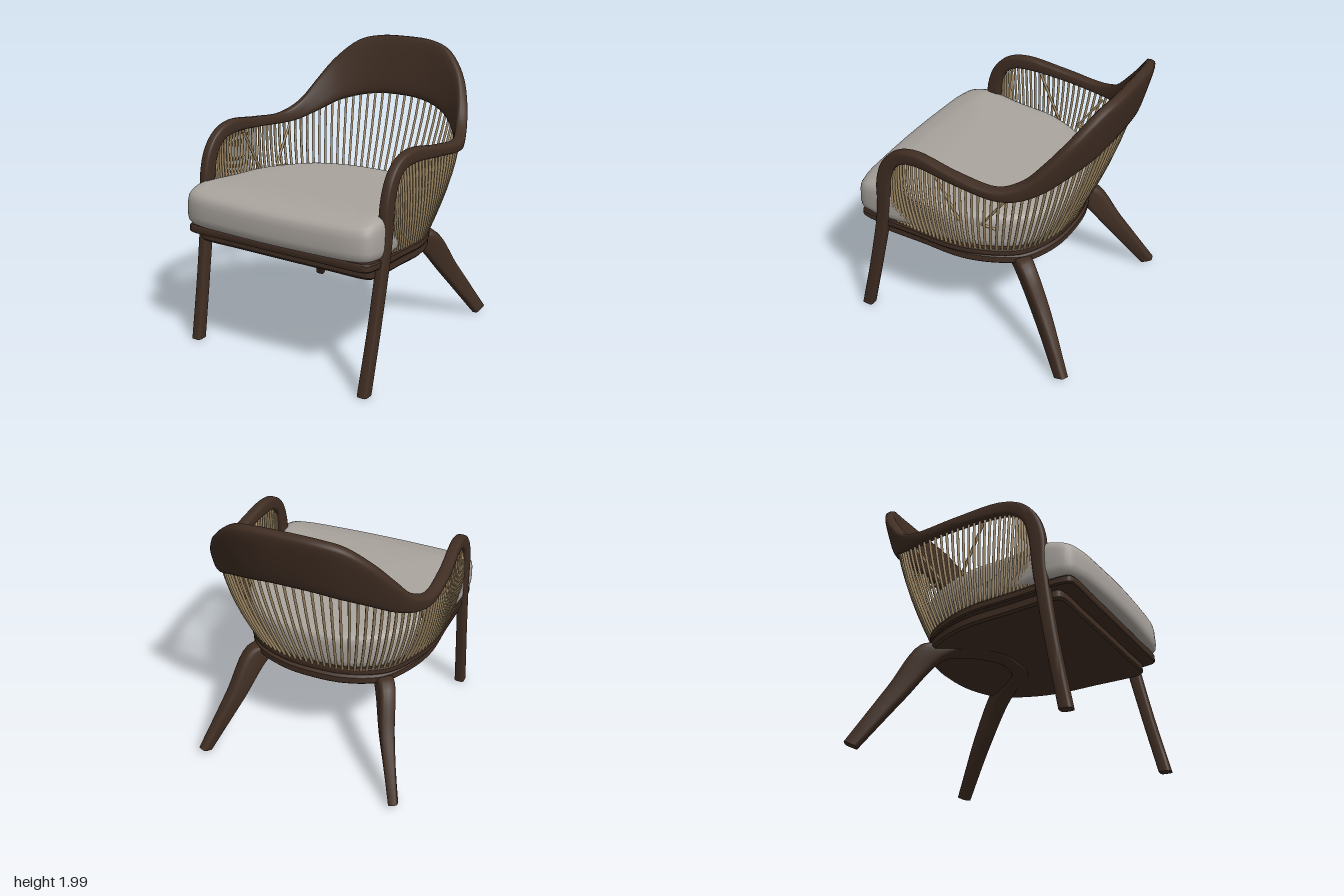
import * as THREE from 'three';
import { toCreasedNormals } from 'three/addons/utils/BufferGeometryUtils.js';

const V = (p) => new THREE.Vector3(...p);
const mirrored = (p) => [-p[0], ...p.slice(1)];
// half list runs from the +x side to the centre line; add the -x side
const bothSides = (half) => [...half, ...half.slice(0, -1).reverse().map(mirrored)];

// Skin a list of equal rings of points, facing outward
function loft(rings, crease) {
  const n = rings[0].length, pos = [], idx = [];
  rings.forEach((r) => r.forEach((p) => pos.push(p.x, p.y, p.z)));
  for (let i = 0; i < rings.length - 1; i++) {
    for (let j = 0; j < n; j++) {
      const a = i * n + j, b = i * n + (j + 1) % n;
      idx.push(a, b, b + n, a, b + n, a + n);
    }
  }
  const at = (i) => new THREE.Vector3(pos[3 * i], pos[3 * i + 1], pos[3 * i + 2]);
  let volume = 0;
  for (let i = 0; i < idx.length; i += 3) volume += at(idx[i]).dot(at(idx[i + 1]).cross(at(idx[i + 2])));
  if (volume < 0) idx.reverse();
  const g = new THREE.BufferGeometry();
  g.setAttribute('position', new THREE.Float32BufferAttribute(pos, 3));
  g.setIndex(idx);
  return toCreasedNormals(g, crease);
}

// Rounded bar whose two edges follow lower and upper points, with a thickness per point
function edgeSweep(lower, upper, thick, steps) {
  const a = new THREE.CatmullRomCurve3(lower.map(V));
  const b = new THREE.CatmullRomCurve3(upper.map(V));
  const rings = [], sides = 20;
  const pow = (v) => Math.sign(v) * Math.abs(v) ** 0.5;
  for (let i = 0; i <= steps; i++) {
    const t = i / steps, p = a.getPoint(t), q = b.getPoint(t);
    const c = p.clone().add(q).multiplyScalar(0.5);
    const u = q.clone().sub(p).multiplyScalar(0.5);
    const dir = a.getTangent(t).add(b.getTangent(t));
    const k = t * (thick.length - 1), k0 = Math.min(Math.floor(k), thick.length - 2);
    const w = THREE.MathUtils.lerp(thick[k0], thick[k0 + 1], k - k0) / 2;
    const n = dir.cross(u).normalize().multiplyScalar(w);
    const ring = [];
    for (let j = 0; j < sides; j++) {
      const ang = (j / sides) * Math.PI * 2;
      ring.push(c.clone().addScaledVector(u, pow(Math.cos(ang))).addScaledVector(n, pow(Math.sin(ang))));
    }
    if (i === 0) rings.push(ring.map(() => c.clone()));
    rings.push(ring);
    if (i === steps) rings.push(ring.map(() => c.clone()));
  }
  return loft(rings, 0.9);
}

// Closed plan outline from half points [x, z], listed front to back
function outline(half, count) {
  const left = half.slice(1, -1).reverse().map(([x, z]) => [-x, z]);
  const pts = [...half, ...left].map(([x, z]) => new THREE.Vector3(x, 0, z));
  return new THREE.CatmullRomCurve3(pts, true).getPoints(count).slice(0, -1);
}
// Stack the outline at [scale, height] levels about z = 0.2
function stack(plan, levels, crease, rule = (p) => p) {
  return loft(levels.map(([s, y]) => plan.map((p) => rule(new THREE.Vector3(p.x * s, y, 0.2 + (p.z - 0.2) * s)))), crease);
}

export function createModel() {
  const chair = new THREE.Group();
  const material = (name, color) => Object.assign(new THREE.MeshStandardMaterial({ color }), { name });
  const wood = material('dark wood', 0x402e23);
  const fabric = material('grey fabric', 0xaaa49e);
  const cord = material('tan cord', 0xa18a66);
  const add = (name, geometry, mat, parent = chair) => {
    const m = new THREE.Mesh(geometry, mat);
    m.name = name;
    parent.add(m);
  };

  // Front legs, arms and backrest as one continuous bent rail
  const railLower = [
    [0.715, 0.01, 0.755], [0.72, 0.5, 0.65], [0.72, 0.95, 0.565], [0.72, 1.2, 0.535], [0.72, 1.32, 0.495],
    [0.72, 1.385, 0.42], [0.725, 1.405, 0.3], [0.745, 1.385, 0], [0.73, 1.36, -0.28], [0.68, 1.37, -0.4],
    [0.59, 1.42, -0.52], [0.46, 1.5, -0.63], [0.3, 1.55, -0.7], [0.15, 1.575, -0.725], [0, 1.58, -0.73]];
  const railUpper = [
    [0.715, 0.01, 0.84], [0.72, 0.5, 0.735], [0.72, 0.95, 0.66], [0.72, 1.2, 0.645], [0.72, 1.36, 0.585],
    [0.72, 1.46, 0.48], [0.725, 1.5, 0.33], [0.75, 1.46, 0], [0.74, 1.44, -0.28], [0.685, 1.51, -0.44],
    [0.625, 1.65, -0.57], [0.53, 1.81, -0.69], [0.37, 1.95, -0.785], [0.22, 1.99, -0.825], [0, 2, -0.835]];
  const railThick = [0.075, 0.07, 0.07, 0.07, 0.07, 0.07, 0.075, 0.08, 0.08, 0.08, 0.08, 0.08, 0.085, 0.085, 0.085];
  // the left front foot stands a little further forward
  const skew = ([x, y, z]) => [x, y, z + Math.sign(x) * 0.037 * Math.max(0, 1 - y)];
  const thickBoth = (t) => [...t, ...t.slice(0, -1).reverse()];
  add('armAndBackRail', edgeSweep(bothSides(railLower).map(skew), bothSides(railUpper).map(skew), thickBoth(railThick), 140), wood);

  // Splayed rear legs joined by a curved brace under the seat
  const legLower = [[0.705, 0.01, -0.71], [0.545, 0.36, -0.47], [0.43, 0.62, -0.27], [0.36, 0.675, -0.16], [0.2, 0.68, 0], [0, 0.68, 0.03]];
  const legUpper = [[0.725, 0.05, -0.795], [0.6, 0.43, -0.57], [0.52, 0.72, -0.38], [0.4, 0.73, -0.24], [0.2, 0.74, -0.02], [0, 0.74, 0.03]];
  add('rearLegsAndBrace', edgeSweep(bothSides(legLower), bothSides(legUpper), thickBoth([0.065, 0.1, 0.12, 0.12, 0.12, 0.1]), 60), wood);

  // Seat, tilted slightly back
  const seat = new THREE.Group();
  seat.name = 'seat';
  seat.rotation.x = -0.055;
  seat.position.z = 0.05;
  chair.add(seat);

  const slabPlan = outline([[0, 0.82], [0.4, 0.818], [0.7, 0.81], [0.725, 0.78], [0.715, 0.4], [0.7, 0.1],
    [0.63, -0.12], [0.49, -0.33], [0.25, -0.44], [0, -0.465]], 96);
  add('seatFrame', stack(slabPlan, [[0, 0.775], [0.99, 0.775], [1, 0.785], [1, 0.82], [0.99, 0.83], [0, 0.83]], 0.6), wood, seat);
  const under = stack(slabPlan, [[0, 0.7], [0.98, 0.7], [1, 0.715], [1, 0.76], [0.96, 0.78], [0, 0.78]], 0.6);
  under.scale(0.96, 1, 0.94);
  under.translate(0, 0, -0.04);
  add('seatUnderFrame', under, wood, seat);

  // Cushion with rounded edges and a front that slopes down
  const cushionPlan = outline([[0, 0.89], [0.35, 0.88], [0.62, 0.855], [0.72, 0.81], [0.745, 0.69], [0.715, 0.4],
    [0.7, 0.1], [0.62, -0.13], [0.48, -0.34], [0.25, -0.45], [0, -0.475]], 96);
  const levels = [[0, 0.83], [0.93, 0.83], [0.97, 0.84], [0.993, 0.865], [1, 0.9], [1, 1.03], [0.993, 1.065],
    [0.975, 1.088], [0.94, 1.1], [0.88, 1.104], [0.8, 1.106], [0.72, 1.107], [0.4, 1.108], [0, 1.108]];
  add('seatCushion', stack(cushionPlan, levels, 1, (p) => {
    if (p.y > 1) p.y -= 0.05 * THREE.MathUtils.clamp((p.z - 0.67) / 0.2, 0, 1);
    return p;
  }), fabric, seat);

  // Cord spindles fanning from the seat edge up to the rail
  const spindles = new THREE.Group();
  spindles.name = 'spindles';
  chair.add(spindles);
  const foot = new THREE.CatmullRomCurve3([[0.7, 0.52], [0.7, 0.3], [0.685, 0.09], [0.62, -0.11], [0.485, -0.315],
    [0.25, -0.43], [0, -0.455]].map(([x, z]) => new THREE.Vector3(x, 0.82 + 0.055 * z, z)));
  const head = new THREE.CatmullRomCurve3([[0.72, 1.27, 0.52], ...railLower.slice(5)].map(V));
  const strand = (name, a, b, bulge) => {
    const mid = a.clone().add(b).multiplyScalar(0.5);
    const out = new THREE.Vector3(mid.x, 0, mid.z).normalize();
    const curve = new THREE.QuadraticBezierCurve3(a, mid.addScaledVector(out, bulge), b);
    add(name, new THREE.TubeGeometry(curve, 6, 0.01, 6), cord, spindles);
  };
  // closer together along the arms than across the back
  const ease = (u, k) => (1 - k) * u + k * u * u;
  const count = 40;
  for (let i = 0; i <= count; i++) {
    const a = foot.getPointAt(ease(i / count, 0.25)), b = head.getPointAt(ease(i / count, 0.4));
    b.y += 0.015;
    for (const s of i === count ? [1] : [1, -1]) {
      const flip = new THREE.Vector3(s, 1, 1);
      strand('spindle', a.clone().multiply(flip), b.clone().multiply(flip), 0.05);
    }
  }
  // Loose strands crossing the side spindles
  for (const s of [1, -1]) {
    strand('looseStrand', V([s * 0.72, 1.39, 0.2]), V([s * 0.7, 1.06, 0.03]), 0);
    strand('looseStrand', V([s * 0.7, 1.34, -0.32]), V([s * 0.68, 1.07, -0.13]), 0);
    strand('looseStrand', V([s * 0.68, 1.07, -0.13]), V([s * 0.66, 1.05, -0.24]), 0);
  }
  return chair;
}
